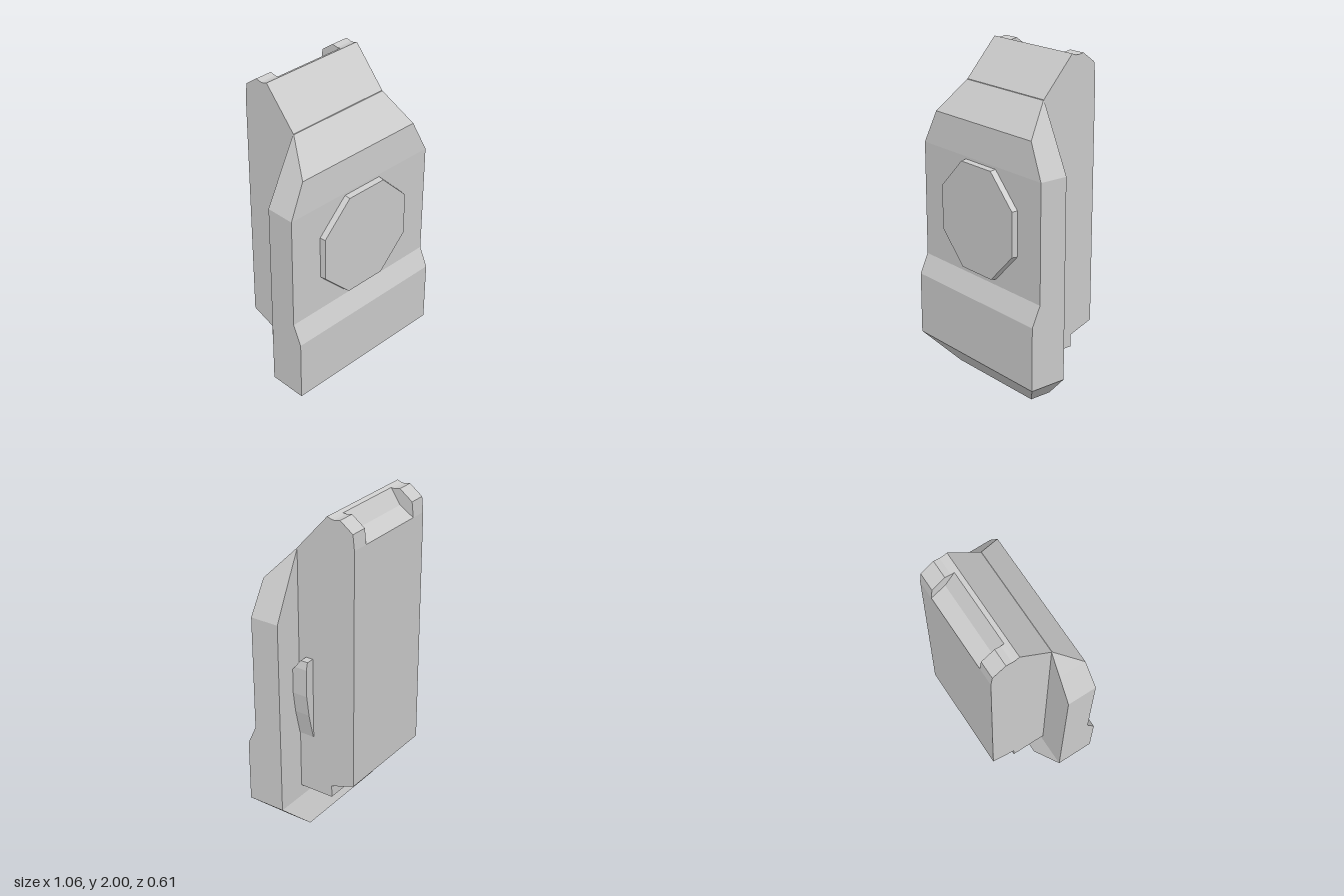
import * as THREE from 'three';

const material = new THREE.MeshStandardMaterial({ color: 0xcccccc, flatShading: true });

function add(group, name, geometry) {
  const mesh = new THREE.Mesh(geometry, material);
  mesh.name = name;
  group.add(mesh);
  return mesh;
}

const shapeOf = (points) => new THREE.Shape(points.map(([a, b]) => new THREE.Vector2(a, b)));

// Extrudes a side profile of [z, y] points across x, from x0 to x1
function sideExtrude(points, x0, x1) {
  const geometry = new THREE.ExtrudeGeometry(shapeOf(points), { depth: x1 - x0, bevelEnabled: false });
  return geometry.rotateY(-Math.PI / 2).translate(x1, 0, 0);
}

// Stacks rectangular sections [y, halfWidth, zFront, zBack] into a closed solid
function loftSections(sections) {
  const positions = [];
  const index = [];
  for (const [y, w, front, back] of sections) {
    positions.push(-w, y, front, w, y, front, w, y, back, -w, y, back);
  }
  for (let i = 0; i < sections.length - 1; i++) {
    for (let k = 0; k < 4; k++) {
      const a = i * 4 + k;
      const b = i * 4 + ((k + 1) % 4);
      index.push(a, b, b + 4, a, b + 4, a + 4);
    }
  }
  const t = (sections.length - 1) * 4;
  index.push(0, 2, 1, 0, 3, 2, t, t + 1, t + 2, t, t + 2, t + 3);
  const geometry = new THREE.BufferGeometry();
  geometry.setAttribute('position', new THREE.Float32BufferAttribute(positions, 3));
  geometry.setIndex(index);
  const flat = geometry.toNonIndexed();
  flat.computeVertexNormals();
  return flat;
}

export function createModel() {
  const group = new THREE.Group();
  group.name = 'device';

  // Wide front shell with bevelled foot, stepped front and sloping shoulders
  add(group, 'frontShell', loftSections([
    [0, 0.34, 0.15, 0.01],
    [0.175, 0.53, 0.305, 0.07],
    [0.56, 0.53, 0.305, 0.07],
    [0.68, 0.53, 0.25, 0.07],
    [1.385, 0.53, 0.25, 0.07],
    [1.59, 0.43, 0.235, 0.07],
    [1.77, 0.34, 0.075, 0.07],
  ]));

  // Narrow rear block with a stepped base and a hollowed top edge
  add(group, 'rearBlock', sideExtrude([
    [0.072, 0.25], [0.072, 1.773], [-0.13, 2], [-0.155, 1.99],
    [-0.215, 1.9], [-0.303, 1.845], [-0.303, 0.38], [-0.15, 0.325], [-0.15, 0.25],
  ], -0.34, 0.34));

  // Two corner lugs beside the hollow
  const lug = [
    [-0.155, 1.99], [-0.175, 1.988], [-0.212, 1.995],
    [-0.293, 1.935], [-0.303, 1.845], [-0.215, 1.9],
  ];
  add(group, 'leftLug', sideExtrude(lug, 0.23, 0.34));
  add(group, 'rightLug', sideExtrude(lug, -0.34, -0.235));

  // Raised octagonal button, slightly tapered
  const button = new THREE.CylinderGeometry(0.348, 0.355, 0.045, 8);
  button.rotateY(Math.PI / 8).rotateX(Math.PI / 2);
  add(group, 'frontButton', button).position.set(0.007, 1.043, 0.2625);

  // Bowed lever on the left flank, its upper front corner cut back
  const lever = new THREE.ExtrudeGeometry(shapeOf([
    [0.33, 0.62], [0.345, 0.62], [0.383, 0.78], [0.402, 0.91], [0.402, 1.06],
    [0.402, 1.08], [0.39, 1.125], [0.33, 1.125], [0.33, 1.06],
  ]), { depth: 0.095, bevelEnabled: false });
  lever.translate(0, 0, -0.025);
  const p = lever.attributes.position;
  for (let i = 0; i < p.count; i++) {
    p.setZ(i, Math.min(p.getZ(i), 0.07 - Math.max(0, p.getY(i) - 1.06) * 0.75));
  }
  lever.computeVertexNormals();
  add(group, 'sideLever', lever);

  return group;
}
